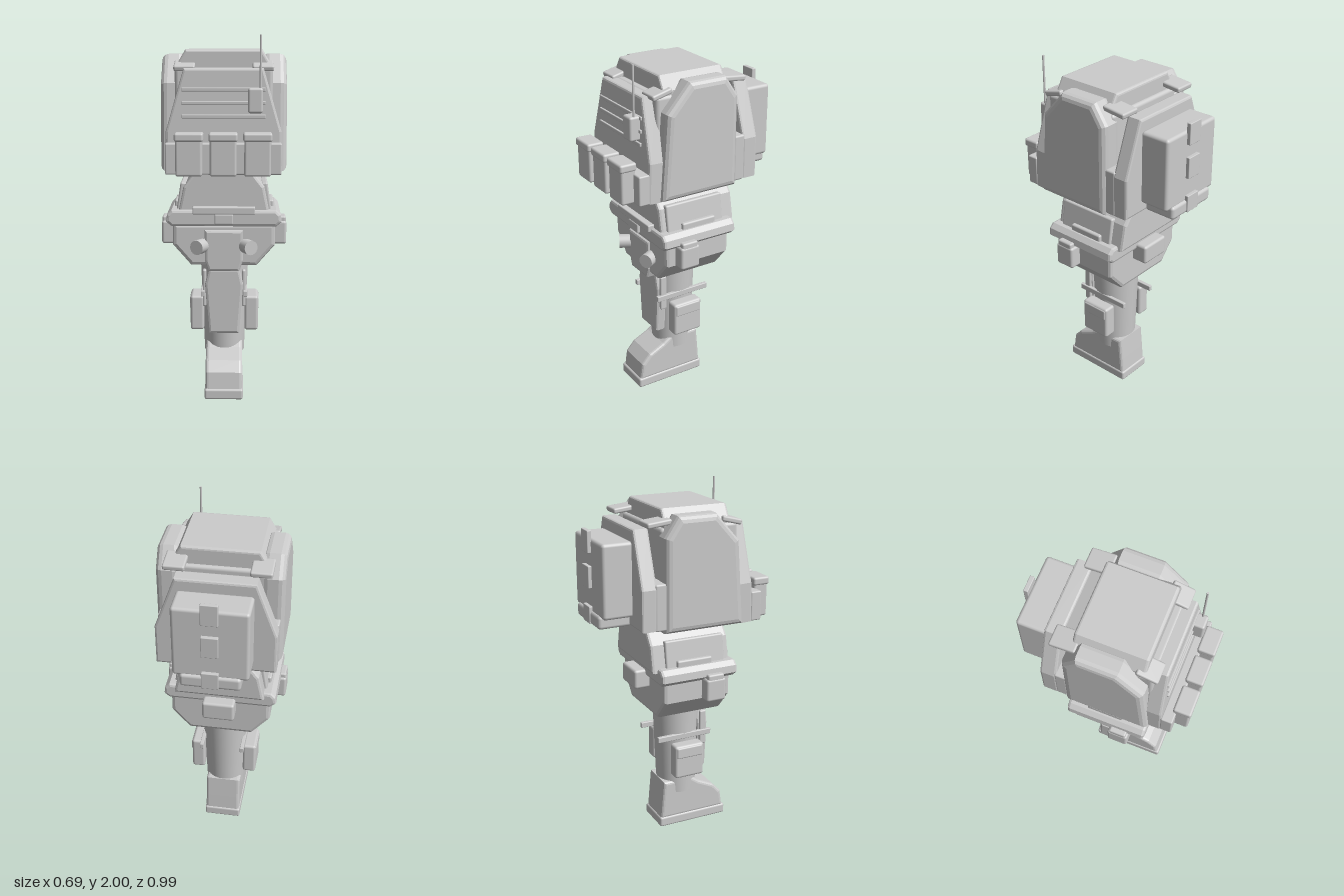
import * as THREE from 'three';
import { RoundedBoxGeometry } from 'three/addons/geometries/RoundedBoxGeometry.js';

export function createModel() {
  const root = new THREE.Group();
  const mat = new THREE.MeshStandardMaterial({ color: 0xcccccc });

  const add = (name, geo, parent = root) => {
    const m = new THREE.Mesh(geo, mat);
    m.name = name;
    parent.add(m);
    return m;
  };
  // Rounded box given by its min/max range on each axis
  const box = (name, [x0, x1], [y0, y1], [z0, z1], r = 0.01, parent = root) => {
    const w = x1 - x0, h = y1 - y0, d = z1 - z0;
    const m = add(name, new RoundedBoxGeometry(w, h, d, 2, Math.min(r, w / 2.1, h / 2.1, d / 2.1)), parent);
    m.position.set((x0 + x1) / 2, (y0 + y1) / 2, (z0 + z1) / 2);
    return m;
  };
  // Bevelled prism: outline in (x, y) swept along z, or in (z, y) swept along x
  const prism = (name, pts, axis, from, to, bevel = 0.01, segments = 2) => {
    const shape = new THREE.Shape(pts.map(([a, b]) => new THREE.Vector2(a, b)));
    const geo = new THREE.ExtrudeGeometry(shape, {
      depth: to - from - 2 * bevel, bevelThickness: bevel, bevelSize: bevel,
      bevelOffset: -bevel, bevelSegments: segments,
    });
    geo.translate(0, 0, bevel - (to - from) / 2);
    if (axis === 'x') geo.rotateY(-Math.PI / 2);
    const mid = (from + to) / 2;
    geo.translate(axis === 'x' ? mid : 0, 0, axis === 'z' ? mid : 0);
    return add(name, geo);
  };
  // Completes the right half of a symmetric outline, listed from bottom to top
  const mirrored = half => [...half, ...half.map(([x, y]) => [-x, y]).reverse()];
  // Range on the +x side (s = 1) or -x side (s = -1)
  const side = (s, a, b) => (s > 0 ? [a, b] : [-b, -a]);

  // Boot
  box('sole', [-0.107, 0.107], [0, 0.06], [-0.107, 0.32], 0.012);
  prism('boot', [[-0.1, 0.05], [0.31, 0.05], [0.295, 0.15], [0.245, 0.205], [0.15, 0.25],
    [0.1, 0.285], [-0.08, 0.285], [-0.092, 0.15]], 'x', -0.103, 0.103, 0.018, 3);

  // Leg
  const leg = add('leg', new THREE.CylinderGeometry(0.137, 0.113, 0.58, 40));
  leg.position.set(0, 0.5, 0.04);
  prism('shinPlate', mirrored([[0.085, 0.345], [0.107, 0.63], [0.085, 0.72]]), 'z', 0.13, 0.195, 0.014);
  for (const s of [1, -1]) {
    box('legPouch', side(s, 0.115, 0.192), [0.345, 0.545], [-0.05, 0.13], 0.015);
    box('legPouchFlap', side(s, 0.12, 0.196), [0.47, 0.535], [-0.04, 0.12], 0.008);
    box('legStrap', side(s, 0.108, 0.13), [0.562, 0.595], [-0.13, 0.205], 0.004);
    box('legStrapTab', side(s, 0.1, 0.12), [0.5, 0.71], [0.14, 0.18], 0.008);
  }

  // Pelvis
  prism('pelvis', mirrored([[0.18, 0.75], [0.28, 0.865], [0.28, 0.985]]), 'z', -0.165, 0.24, 0.02);
  prism('groinPlate', mirrored([[0.085, 0.72], [0.105, 0.78], [0.105, 0.95]]), 'z', 0.16, 0.255, 0.014);
  box('rearPouch', [-0.09, 0.09], [0.9, 1.01], [-0.255, -0.15], 0.015);
  for (const s of [1, -1]) {
    box('hipPouch', side(s, 0.26, 0.345), [0.86, 0.99], [0.065, 0.182], 0.014);
    box('hipPouchFlap', side(s, 0.26, 0.342), [0.97, 1.015], [0.075, 0.172], 0.01);
    const knob = add('hipKnob', new THREE.CylinderGeometry(0.04, 0.04, 0.1, 20));
    knob.position.set(s * 0.125, 0.862, 0.25);
    knob.rotation.set(Math.PI / 2, 0, -s * 0.5);
  }

  // Belt
  prism('belt', mirrored([[0.285, 0.975], [0.315, 1.0], [0.31, 1.04], [0.285, 1.065]]), 'z', -0.19, 0.27, 0.015);
  box('beltBar', [-0.17, 0.17], [1.045, 1.085], [0.2, 0.287], 0.006);
  box('beltBuckle', [-0.05, 0.05], [0.99, 1.045], [0.24, 0.287], 0.006);

  // Abdomen
  prism('abdomen', mirrored([[0.25, 1.04], [0.22, 1.19], [0.135, 1.3]]), 'z', -0.22, 0.25, 0.015);
  for (const s of [1, -1]) {
    const plate = box('waistPlate', side(s, 0.215, 0.25), [1.04, 1.21], [-0.14, 0.215], 0.01);
    plate.rotation.z = s * 0.15;
    box('waistClip', side(s, 0.23, 0.275), [1.05, 1.1], [-0.08, 0.13], 0.01);
  }

  // Torso core, side shells and top cap
  const shell = [[-0.175, 1.28], [0.29, 1.28], [0.255, 1.75], [0.12, 1.9], [-0.1, 1.9], [-0.175, 1.79]];
  box('torso', [-0.26, 0.26], [1.28, 1.83], [-0.17, 0.28], 0.02);
  for (const s of [1, -1]) prism('sideShell', shell, 'x', ...side(s, 0.21, 0.337), 0.035, 3);
  prism('topCap', mirrored([[0.25, 1.78], [0.25, 1.85], [0.205, 1.925]]), 'z', -0.15, 0.237, 0.015, 3);

  // Shoulder clips, front and back
  for (const s of [1, -1]) {
    const front = box('frontShoulderClip', side(s, 0.152, 0.265), [1.825, 1.855], [0.185, 0.305], 0.01);
    front.rotation.x = 0.25;
    const back = box('backShoulderClip', side(s, 0.165, 0.28), [1.845, 1.875], [-0.255, -0.115], 0.01);
    back.rotation.x = -0.1;
  }

  // Front vest panel, leaning back slightly
  const panel = mirrored([[0.305, 0], [0.305, 0.22], [0.21, 0.55]]);
  const vest = prism('frontPanel', panel, 'z', -0.09, 0, 0.012);
  vest.position.set(0, 1.28, 0.36);
  vest.rotation.x = -0.04;
  for (const y of [1.58, 1.65, 1.72])
    box('panelRib', [-0.22, 0.22], [y - 0.01, y + 0.01], [0.32, 0.362 - (y - 1.5) * 0.05], 0.004);

  // Chest pouches on their strap
  box('pouchStrap', [-0.305, 0.305], [1.28, 1.445], [0.35, 0.414], 0.008);
  for (const x of [-0.178, 0, 0.178]) {
    box('chestPouch', [x - 0.069, x + 0.069], [1.28, 1.48], [0.4, 0.485], 0.012);
    box('chestPouchLid', [x - 0.075, x + 0.075], [1.46, 1.505], [0.395, 0.493], 0.012);
  }

  // Radio and antenna
  box('radio', [0.128, 0.205], [1.6, 1.73], [0.34, 0.405], 0.012);
  const antenna = add('antenna', new THREE.CylinderGeometry(0.006, 0.006, 0.3, 10));
  antenna.position.set(0.193, 1.85, 0.375);

  // Back panel and its lower spacer
  box('backSpacer', [-0.32, 0.32], [1.3, 1.555], [-0.23, -0.165], 0.01);
  prism('backPanel', mirrored([[0.32, 1.305], [0.32, 1.53], [0.21, 1.83]]), 'z', -0.31, -0.22, 0.012);

  // Backpack with lower roll and closure tabs
  box('backpack', [-0.2, 0.2], [1.36, 1.765], [-0.475, -0.3], 0.018);
  box('backpackRoll', [-0.16, 0.16], [1.3, 1.375], [-0.488, -0.3], 0.018);
  for (const [y0, y1] of [[1.69, 1.81], [1.5, 1.62], [1.305, 1.4]])
    box('backpackTab', [-0.045, 0.045], [y0, y1], [-0.495, -0.47], 0.004);

  return root;
}
